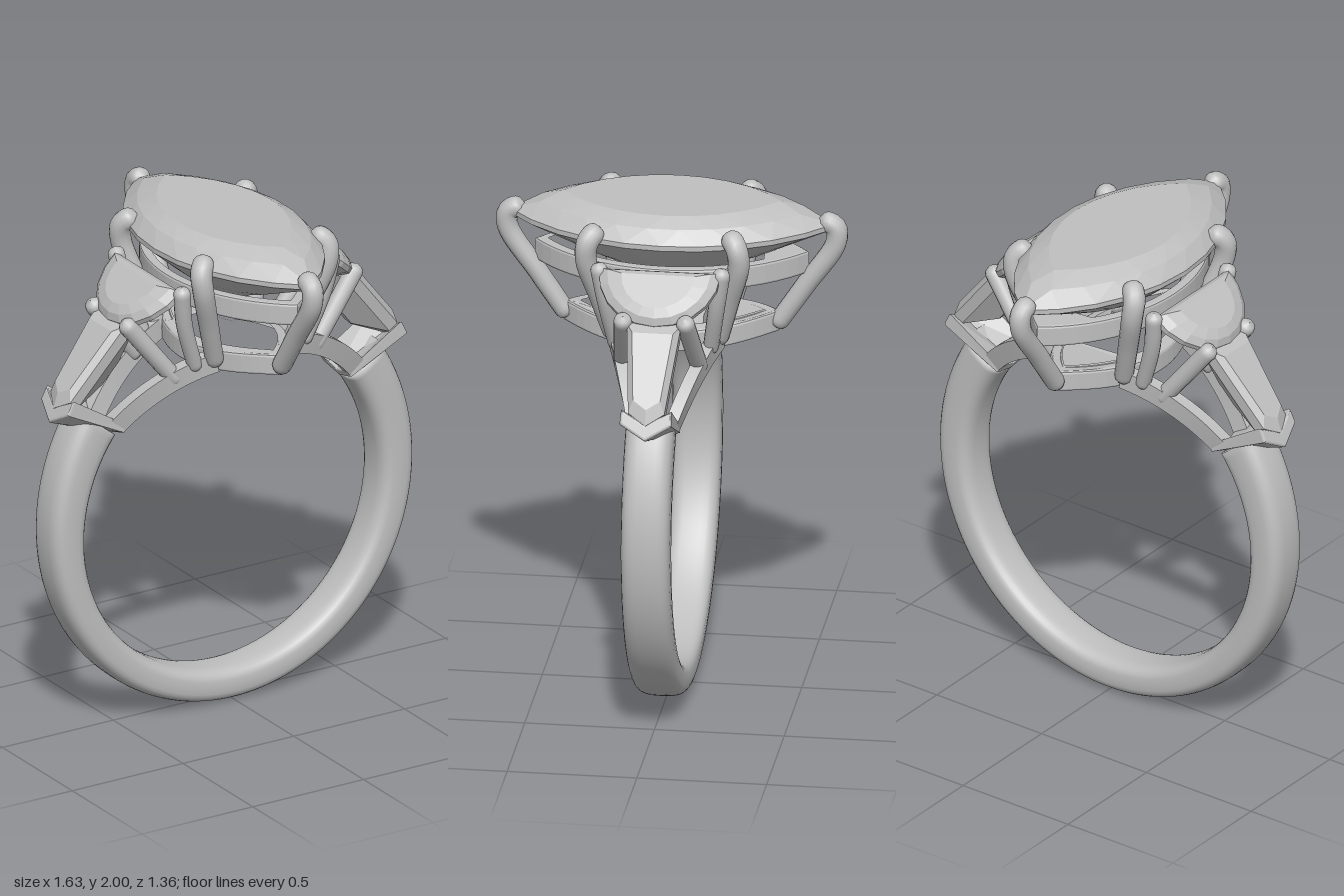
import * as THREE from 'three';
import { mergeVertices } from 'three/addons/utils/BufferGeometryUtils.js';

const CY = 0.8, R_IN = 0.665; // finger hole centre height and radius
const rad = THREE.MathUtils.degToRad;

// Pointed oval outline as [x, z] pairs, running from +z past +x to -z and back
function marquise(hx, hz, n = 20) {
  const R = (hx * hx + hz * hz) / (2 * hx), max = Math.asin(hz / R), pts = [];
  for (const side of [1, -1]) {
    for (let i = 0; i < n / 2; i++) {
      const a = max * (1 - (4 * i) / n) * side;
      pts.push([side * (R * Math.cos(a) - R + hx), R * Math.sin(a)]);
    }
  }
  return pts;
}

// Faceted stone: layers [height, scale, staggered] of one outline, bottom to top
function gem(outline, centre, layers) {
  const n = outline.length, pos = [];
  const rings = layers.map(([y, s, stagger]) => outline.map((p, i) => {
    const q = stagger ? outline[(i + 1) % n] : p;
    const at = (k) => centre[k] + ((p[k] + q[k]) / 2 - centre[k]) * s;
    return [at(0), y, at(1)];
  }));
  const tri = (...c) => c.forEach((p) => pos.push(...p));
  for (let i = 0; i < n; i++) {
    const j = (i + 1) % n;
    for (let k = 0; k + 1 < rings.length; k++) {
      const a = rings[k], b = rings[k + 1];
      if (layers[k][2]) { tri(a[i], a[j], b[j]); tri(a[i], b[j], b[i]); }
      else { tri(a[i], a[j], b[i]); tri(a[j], b[j], b[i]); }
    }
    const lo = rings[0], hi = rings[rings.length - 1];
    tri(hi[i], hi[j], [centre[0], hi[0][1], centre[1]]);
    tri(lo[j], lo[i], [centre[0], lo[0][1], centre[1]]);
  }
  const g = new THREE.BufferGeometry();
  g.setAttribute('position', new THREE.Float32BufferAttribute(pos, 3));
  g.computeVertexNormals();
  return g;
}

function smooth(g) {
  g.deleteAttribute('uv');
  g.deleteAttribute('normal');
  const m = mergeVertices(g, 1e-5);
  m.computeVertexNormals();
  return m;
}

// Round wire with domed ends, its radius running from r0 to r1
function wire(points, r0, r1) {
  const curve = new THREE.CatmullRomCurve3(points.map((p) => new THREE.Vector3(...p)));
  const segs = 40, sides = 14, len = curve.getLength();
  const g = new THREE.TubeGeometry(curve, segs, 1, sides), p = g.attributes.position;
  const v = new THREE.Vector3();
  for (let i = 0; i < p.count; i++) {
    const t = Math.floor(i / (sides + 1)) / segs, c = curve.getPointAt(t);
    const r = r0 + (r1 - r0) * t, s = Math.min(1, (Math.min(t, 1 - t) * len) / r);
    const k = Math.max(0.001, r * Math.sqrt(1 - (1 - s) ** 2));
    v.fromBufferAttribute(p, i).sub(c).multiplyScalar(k).add(c);
    p.setXYZ(i, v.x, v.y, v.z);
  }
  return smooth(g);
}

// Flat pointed-oval ring, bottom at y = 0
function ovalRail(hx, hz, wall, height) {
  const b = 0.01, path = (d) => marquise(hx - d, hz - d * 1.5, 48).map(([x, z]) => new THREE.Vector2(x, z));
  const shape = new THREE.Shape(path(b));
  shape.holes.push(new THREE.Path(path(wall - b)));
  const g = new THREE.ExtrudeGeometry(shape, {
    depth: height - 2 * b, bevelSize: b, bevelThickness: b, bevelSegments: 2 });
  return g.rotateX(-Math.PI / 2).translate(0, b, 0);
}

// Shank: torus reshaped to a soft-cornered section that thickens upward
function shankGeometry() {
  const tube = 28, ring = 120, a0 = rad(142), arc = rad(256);
  const g = new THREE.TorusGeometry(1, 0.1, tube, ring, arc), p = g.attributes.position;
  const soft = (x) => Math.sign(x) * Math.abs(x) ** 0.65;
  for (let k = 0; k < p.count; k++) {
    const j = Math.floor(k / (ring + 1)), i = k % (ring + 1);
    const a = a0 + (arc * (Math.min(Math.max(i, 1), ring - 1) - 1)) / (ring - 2);
    const v = (j / tube) * Math.PI * 2, cap = i === 0 || i === ring ? 0 : 1;
    const out = 0.8 + 0.1 * ((Math.sin(a) + 1) / 2) ** 2.7;
    const r = (out + R_IN) / 2 + cap * soft(Math.cos(v)) * (out - R_IN) / 2;
    p.setXYZ(k, Math.cos(a) * r, CY + Math.sin(a) * r, cap * soft(Math.sin(v)) * 0.095);
  }
  return smooth(g);
}

// Curved rail from the shank shoulder up to the centre basket
function shoulderRail(side) {
  const g = new THREE.BoxGeometry(1, 1, 1, 18, 1, 1), p = g.attributes.position;
  for (let i = 0; i < p.count; i++) {
    const t = p.getX(i) + 0.5, a = rad(76 - 36 * t);
    const r = R_IN + 0.005 + (p.getY(i) + 0.5) * 0.08;
    const z = side * (0.2 - 0.13 * t) + p.getZ(i) * 0.05;
    p.setXYZ(i, Math.cos(a) * r, CY + Math.sin(a) * r, z);
  }
  g.computeVertexNormals();
  return g;
}

// V-shaped end plate, narrowing toward the finger
function chevronGeometry() {
  const pts = [[-0.09, 0.05], [-0.09, 0.01], [0, -0.045], [0.09, 0.01], [0.09, 0.05], [0, -0.005]];
  const depth = 0.27;
  const g = new THREE.ExtrudeGeometry(new THREE.Shape(pts.map((q) => new THREE.Vector2(...q))), {
    depth, bevelSize: 0.01, bevelThickness: 0.01, bevelSegments: 3 });
  const p = g.attributes.position;
  for (let i = 0; i < p.count; i++) p.setY(i, p.getY(i) * (1 - (0.45 * p.getZ(i)) / depth));
  g.computeVertexNormals();
  const a = rad(26);
  const m = new THREE.Matrix4().makeBasis(new THREE.Vector3(0, 0, 1),
    new THREE.Vector3(-Math.sin(a), Math.cos(a), 0), new THREE.Vector3(-Math.cos(a), -Math.sin(a), 0));
  return g.applyMatrix4(m.setPosition(0.76, 1.35, 0));
}

export function createModel() {
  const silver = new THREE.MeshStandardMaterial({ color: 0xbfbfbf });
  silver.name = 'silver';
  const model = new THREE.Group();
  model.name = 'ring';
  const add = (name, geometry, parent = model) => {
    const mesh = new THREE.Mesh(geometry, silver);
    mesh.name = name;
    parent.add(mesh);
    return mesh;
  };

  add('shank', shankGeometry());

  // Centre stone and the two rails of its basket
  add('centreStone', gem(marquise(0.315, 0.625), [0, 0], [
    [1.66, 0.06], [1.78, 0.58, true], [1.895, 1], [1.915, 1], [1.967, 0.87, true], [2, 0.67]]));
  add('upperRail', ovalRail(0.265, 0.53, 0.045, 0.09)).position.y = 1.71;
  const lower = ovalRail(0.2, 0.42, 0.055, 0.085), lp = lower.attributes.position;
  for (let i = 0; i < lp.count; i++) {
    lp.setY(i, lp.getY(i) + CY + Math.sqrt(R_IN ** 2 - lp.getX(i) ** 2));
  }
  lower.computeVertexNormals();
  add('lowerRail', lower);

  // Claws: one at each tip, two along each side
  for (const s of [1, -1]) {
    add('tipClaw', wire([[0, 1.48, s * 0.395], [0, 1.66, s * 0.515], [0, 1.84, s * 0.632],
      [0, 1.905, s * 0.63], [0, 1.935, s * 0.565]], 0.038, 0.042));
    for (const x of [1, -1]) {
      add('sideClaw', wire([[x * 0.165, 1.47, s * 0.2], [x * 0.225, 1.66, s * 0.25], [x * 0.28, 1.84, s * 0.295],
        [x * 0.282, 1.91, s * 0.285], [x * 0.235, 1.95, s * 0.245]], 0.036, 0.044));
    }
  }

  // Shoulders: half-moon and tapered stones, same on both sides
  const moon = [];
  for (let i = 0; i <= 10; i++) {
    const a = Math.PI / 2 - (Math.PI * i) / 10;
    moon.push([0.24 * Math.cos(a), 0.235 * Math.sin(a)]);
  }
  const taper = [[0, 0.105], [0.36, 0.07], [0.41, 0], [0.36, -0.07], [0, -0.105]];
  for (const s of [1, -1]) {
    const shoulder = new THREE.Group();
    shoulder.name = s > 0 ? 'leftShoulder' : 'rightShoulder';
    shoulder.rotation.y = s > 0 ? 0 : Math.PI;
    model.add(shoulder);

    const half = add('halfMoonStone', gem(moon, [0.09, 0], [
      [-0.14, 0.1], [-0.07, 0.62], [-0.01, 1], [0.012, 1], [0.035, 0.85], [0.05, 0.6]]), shoulder);
    half.position.set(0.335, 1.815, 0);
    half.rotation.z = -0.7;
    const bar = add('taperedStone', gem(taper, [0.18, 0], [
      [-0.11, 0.3], [-0.03, 1], [0.015, 1], [0.038, 0.75]]), shoulder);
    bar.position.set(0.5, 1.665, 0);
    bar.rotation.z = -0.89;

    add('endChevron', chevronGeometry(), shoulder);
    for (const z of [1, -1]) {
      add('shoulderRail', shoulderRail(z), shoulder);
      add('halfMoonProng', wire([[0.24, 1.46, z * 0.18], [0.315, 1.68, z * 0.215],
        [0.342, 1.845, z * 0.24]], 0.03, 0.034), shoulder);
      add('taperedStoneProng', wire([[0.3, 1.41, z * 0.15], [0.41, 1.55, z * 0.135],
        [0.53, 1.705, z * 0.118]], 0.034, 0.036), shoulder);
    }
  }
  return model;
}
